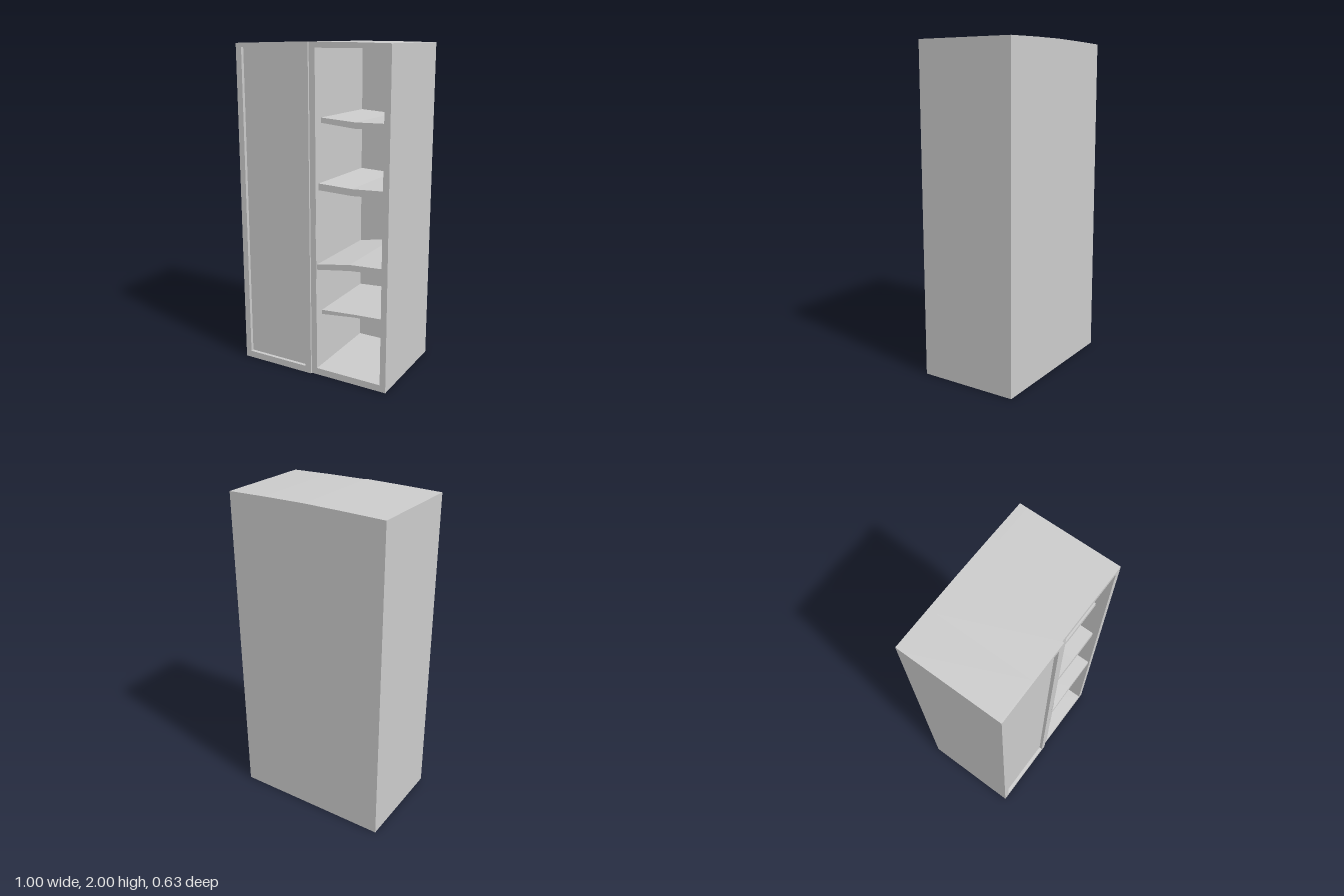
import * as THREE from 'three';

const material = new THREE.MeshStandardMaterial({ color: 0xcccccc, flatShading: true });

// Outline and opening points in the front plane
const topEdge = [[0.495, 1.993], [0.25, 1.998], [0, 2], [-0.008, 2], [-0.25, 1.996], [-0.5, 1.99]];
const rect = (x0, x1, y0, y1) => [[x0, y0], [x1, y0], [x1, y1], [x0, y1]];
const toVectors = (pts) => pts.map(([x, y]) => new THREE.Vector2(x, y));

// Extrudes an outline, with optional holes, from z0 to z1
function slab(name, outline, z0, z1, holes = []) {
  const shape = new THREE.Shape(toVectors(outline));
  for (const h of holes) shape.holes.push(new THREE.Path(toVectors(h)));
  const geometry = new THREE.ExtrudeGeometry(shape, { depth: z1 - z0, bevelEnabled: false });
  geometry.translate(0, 0, z0);
  const mesh = new THREE.Mesh(geometry, material);
  mesh.name = name;
  return mesh;
}

export function createModel() {
  const group = new THREE.Group();
  group.name = 'cabinet';

  const back = -0.315, inner = -0.27, front = 0.303, doorFront = 0.314;
  const openBay = rect(0.03, 0.458, 0.042, 1.967);
  const closedBay = rect(-0.462, -0.046, 0.042, 1.967);
  const outline = [[-0.5, 0], [0.495, 0], ...topEdge];

  // Carcass with two bays, closed at the back
  group.add(slab('carcass', outline, inner, front, [openBay, closedBay]));
  group.add(slab('backPanel', outline, back, inner));

  // Closed door: raised frame around a recessed panel
  const doorOutline = [[-0.5, 0], [-0.008, 0], ...topEdge.slice(3)];
  group.add(slab('doorFrame', doorOutline, front, doorFront, [closedBay]));
  group.add(slab('doorPanel', closedBay, 0.27, 0.293));

  // Sagging shelves: heights of top and bottom at left, middle and right, and front depth
  const shelves = [
    { top: [1.58, 1.566, 1.57], bottom: [1.55, 1.53, 1.537], z: 0.24 },
    { top: [1.202, 1.193, 1.202], bottom: [1.162, 1.153, 1.162], z: 0.27 },
    { top: [0.715, 0.75, 0.76], bottom: [0.682, 0.713, 0.727], z: 0.295 },
    { top: [0.405, 0.42, 0.43], bottom: [0.378, 0.402, 0.413], z: 0.24 },
  ];
  const xs = [0.03, 0.25, 0.458];
  for (const { top, bottom, z } of shelves) {
    const lower = xs.map((x, i) => [x, bottom[i]]);
    const upper = xs.map((x, i) => [x, top[i]]).reverse();
    group.add(slab('shelf', [...lower, ...upper], inner, z));
  }

  // Slight swelling on the front edge of the divider
  group.add(slab('dividerBulge', [[0.002, 0.75], [0.029, 0.53], [0.029, 0.96]], front, 0.305));

  return group;
}
